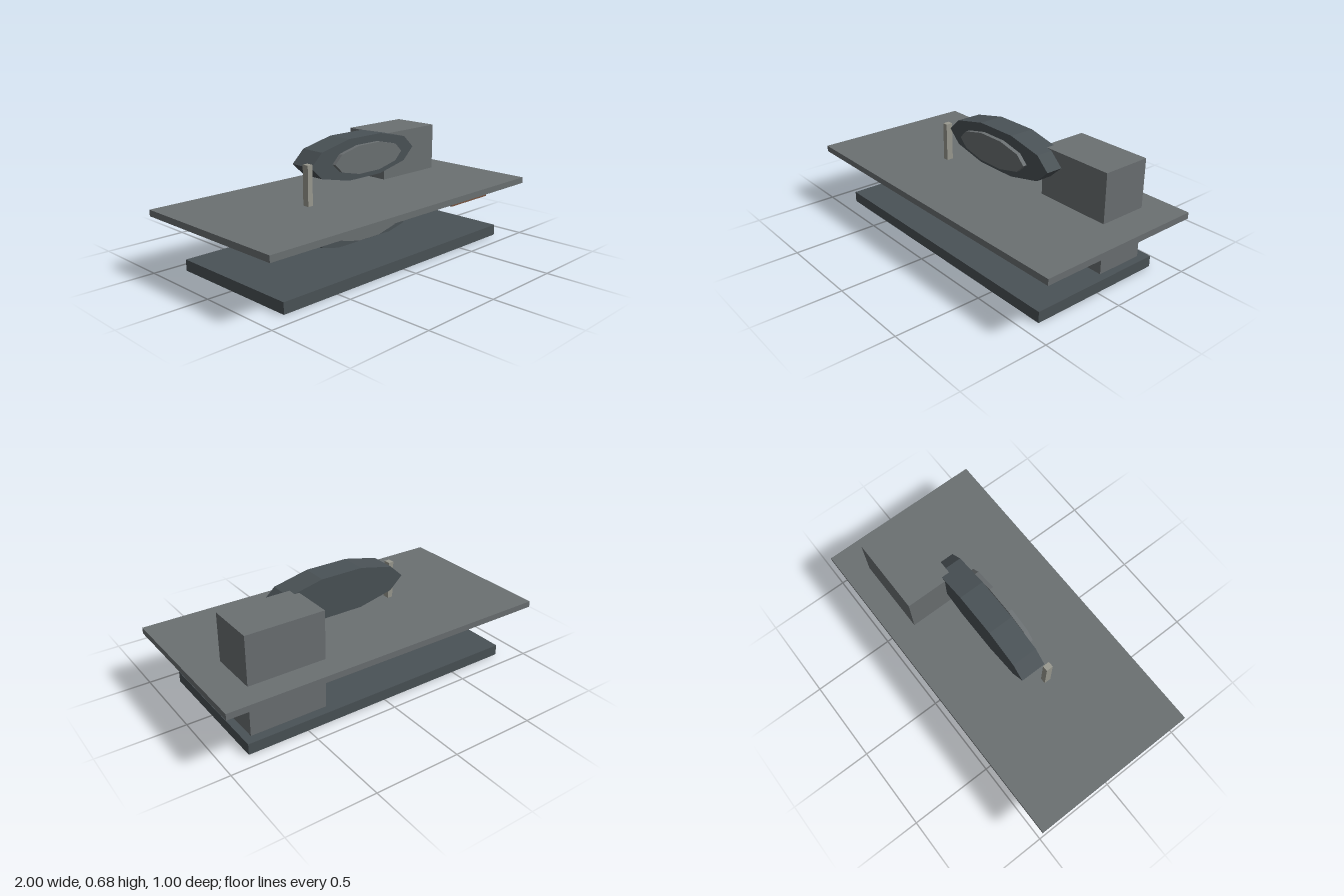
import * as THREE from 'three';

const mat = (color) => new THREE.MeshStandardMaterial({ color, flatShading: true });

export function createModel() {
  const model = new THREE.Group();
  const dark = mat(0x4a5256), grey = mat(0x6b7072), steel = mat(0x9a9a90), wood = mat(0x7a5641);

  // box given by its minimum and maximum corners
  const box = (name, [x0, y0, z0], [x1, y1, z1], material) => {
    const mesh = new THREE.Mesh(new THREE.BoxGeometry(x1 - x0, y1 - y0, z1 - z0), material);
    mesh.position.set((x0 + x1) / 2, (y0 + y1) / 2, (z0 + z1) / 2);
    mesh.name = name;
    model.add(mesh);
  };

  // flattened ten-sided disc facing +z, with corners at its left and right ends
  const disc = (name, y, rx, ry, z0, z1, material) => {
    const geo = new THREE.CylinderGeometry(1, 1, z1 - z0, 10, 1, false, Math.PI / 2);
    geo.rotateX(Math.PI / 2).scale(rx, ry, 1);
    const mesh = new THREE.Mesh(geo, material);
    mesh.position.set(0.082, y, (z0 + z1) / 2);
    mesh.name = name;
    model.add(mesh);
  };

  // stand, column and work table
  box('base', [-0.853, 0, -0.41], [0.853, 0.064, 0.41], dark);
  box('column', [0.353, 0.064, -0.356], [0.808, 0.64, -0.065], grey);
  box('table', [-1, 0.322, -0.5], [1, 0.358, 0.5], grey);

  // upper and lower wheels with their front covers
  for (const [side, y] of [['upper', 0.559], ['lower', 0.164]]) {
    disc(side + 'Wheel', y, 0.413, 0.125, -0.115, 0.035, dark);
    disc(side + 'WheelCover', y, 0.268, 0.085, 0.048, 0.072, grey);
  }

  // upright blade and the small bar below the table
  box('blade', [-0.374, 0.16, 0.016], [-0.341, 0.584, 0.056], steel);
  box('bar', [0.395, 0.278, 0.308], [0.725, 0.308, 0.425], wood);

  return model;
}
